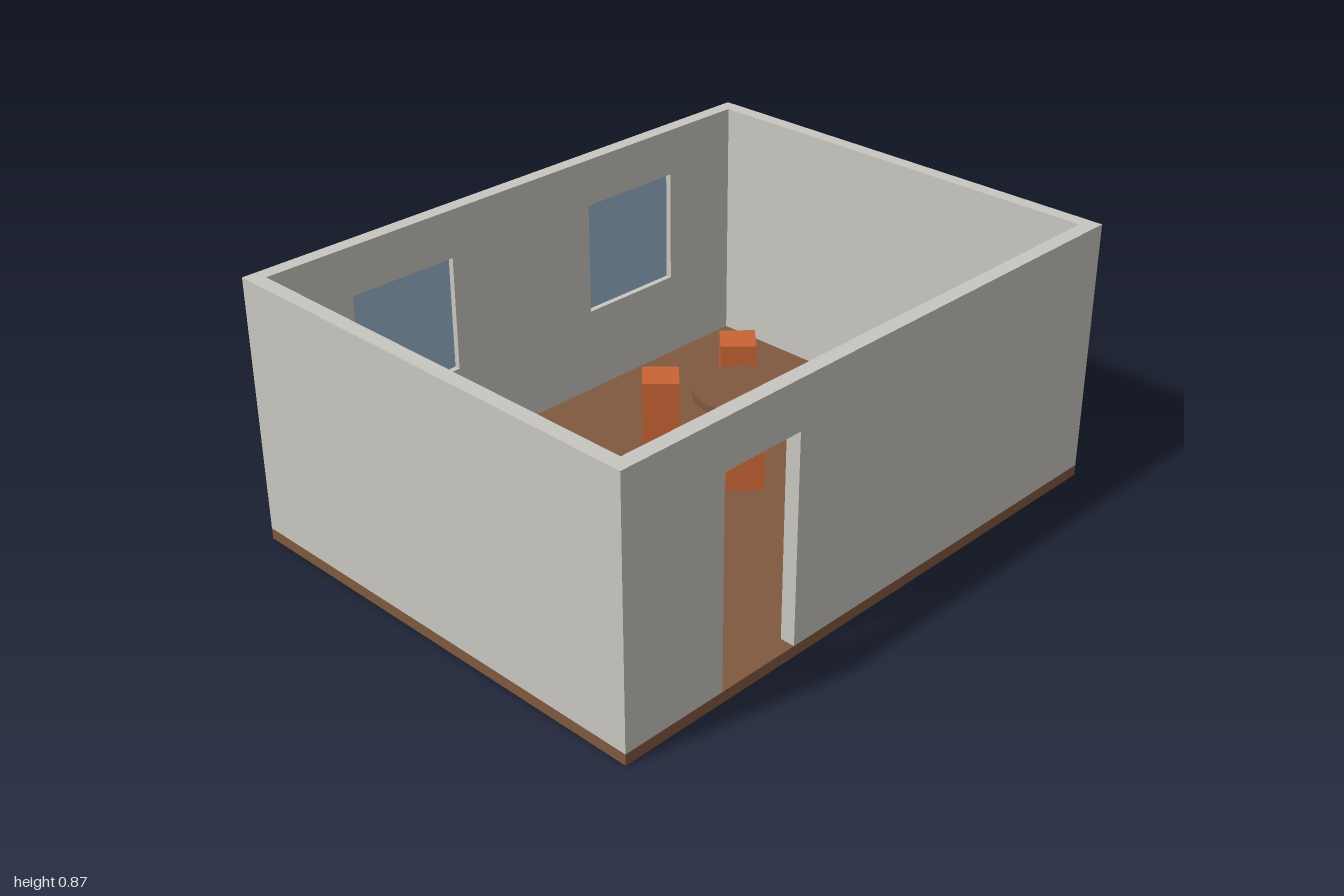
import * as THREE from 'three';

const mat = (name, color) => {
  const m = new THREE.MeshStandardMaterial({ color });
  m.name = name;
  return m;
};

export function createModel() {
  const plaster = mat('plaster', 0xc8c6c0);
  const wood = mat('brown wood', 0x80593f);
  const glass = mat('window glass', 0x97b4c9);
  const blue = mat('blue blanket', 0x3f547f);
  const orange = mat('orange seat', 0xc86434);

  const W = 1, D = 0.762, T = 0.048; // half width, half depth, wall thickness
  const FLOOR = 0.036, TOP = 0.868;

  const model = new THREE.Group();
  model.name = 'room';

  const add = (name, geometry, material, x, y, z, parent = model) => {
    const mesh = new THREE.Mesh(geometry, material);
    mesh.name = name;
    mesh.position.set(x, y, z);
    parent.add(mesh);
    return mesh;
  };
  // box given by its ranges on each axis
  const block = (name, material, [x0, x1], [y0, y1], [z0, z1]) =>
    add(name, new THREE.BoxGeometry(x1 - x0, y1 - y0, z1 - z0), material,
      (x0 + x1) / 2, (y0 + y1) / 2, (z0 + z1) / 2);
  const points = (list) => list.map(([x, y]) => new THREE.Vector2(x, y));
  const wall = (name, shape, z) =>
    add(name, new THREE.ExtrudeGeometry(shape, { depth: T, bevelEnabled: false }), plaster, 0, 0, z);

  // floor slab
  block('floor', wood, [-W, W], [0, FLOOR], [-D, D]);

  // front wall with a doorway open down to the floor
  const doorL = -0.642, doorR = -0.356, doorTop = 0.711;
  wall('frontWall', new THREE.Shape(points([
    [-W, FLOOR], [doorL, FLOOR], [doorL, doorTop], [doorR, doorTop],
    [doorR, FLOOR], [W, FLOOR], [W, TOP], [-W, TOP],
  ])), D - T);

  // back wall with two square windows
  const winX = 0.476, winHalf = 0.19, winY0 = 0.327, winY1 = 0.71;
  const back = new THREE.Shape(points([[-W, FLOOR], [W, FLOOR], [W, TOP], [-W, TOP]]));
  for (const side of [-1, 1]) {
    const x0 = side * winX - winHalf, x1 = side * winX + winHalf;
    back.holes.push(new THREE.Path(points([[x0, winY0], [x0, winY1], [x1, winY1], [x1, winY0]])));
    block(side > 0 ? 'leftWindowPane' : 'rightWindowPane', glass,
      [x0, x1], [winY0, winY1], [-D + T / 2 - 0.004, -D + T / 2 + 0.004]);
  }
  wall('backWall', back, -D);

  // side walls
  block('leftWall', plaster, [W - T, W], [FLOOR, TOP], [-D + T, D - T]);
  block('rightWall', plaster, [-W, -W + T], [FLOOR, TOP], [-D + T, D - T]);

  // bed
  block('bed', blue, [-0.86, -0.415], [FLOOR, 0.18], [-0.655, -0.021]);
  block('pillow', plaster, [-0.83, -0.447], [0.18, 0.224], [-0.623, -0.498]);

  // round table with four seats turned towards it
  const dining = new THREE.Group();
  dining.name = 'diningSet';
  dining.position.set(0.378, FLOOR, -0.114);
  model.add(dining);
  add('tableTop', new THREE.CylinderGeometry(0.158, 0.158, 0.025, 48), wood, 0, 0.178, 0, dining);
  add('tableLeg', new THREE.CylinderGeometry(0.03, 0.03, 0.166, 24), wood, 0, 0.083, 0, dining);
  for (const sx of [-1, 1]) for (const sz of [-1, 1]) {
    const seat = add('seat', new THREE.BoxGeometry(0.119, 0.238, 0.119), orange,
      sx * 0.182, 0.119, sz * 0.184, dining);
    seat.rotation.y = Math.PI / 4;
  }

  return model;
}
